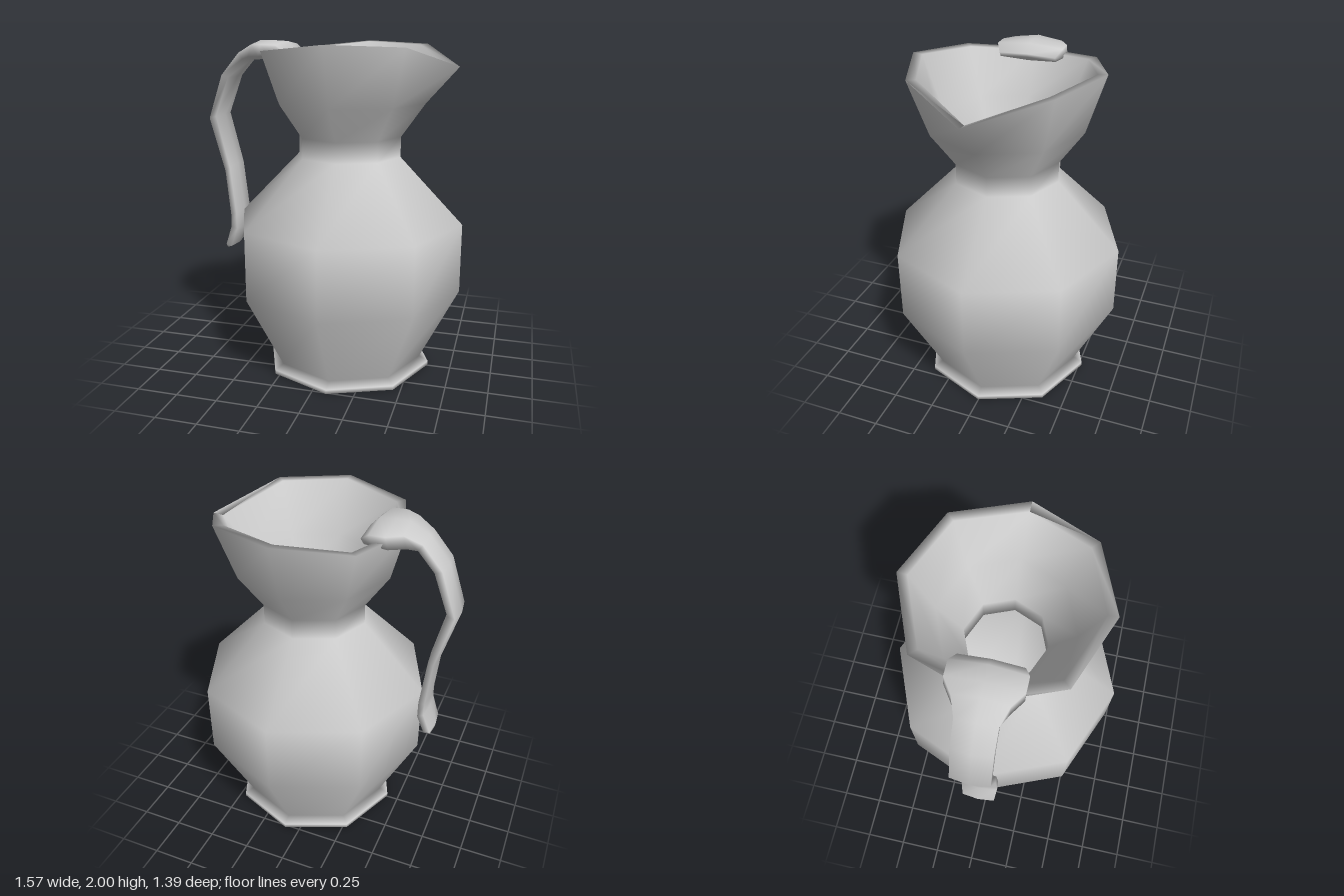
import * as THREE from 'three';

const SIDES = 8;
const CENTRE_X = 0.09; // axis of the jug body

// Skin a list of equal-length rings of Vector3 with smooth normals
function loft(rings) {
  const n = rings[0].length;
  const positions = rings.flat().flatMap((p) => [p.x, p.y, p.z]);
  const index = [];
  for (let i = 0; i < rings.length - 1; i++) {
    for (let j = 0; j < n; j++) {
      const k = (j + 1) % n;
      const a = i * n + j, b = (i + 1) * n + j, c = i * n + k, d = (i + 1) * n + k;
      index.push(a, b, c, c, b, d);
    }
  }
  const geometry = new THREE.BufferGeometry();
  geometry.setAttribute('position', new THREE.Float32BufferAttribute(positions, 3));
  geometry.setIndex(index);
  geometry.computeVertexNormals();
  return geometry;
}

// Regular octagon around the jug axis
function octagon([radius, y]) {
  return Array.from({ length: SIDES }, (_, i) => {
    const a = (i / SIDES) * Math.PI * 2;
    return new THREE.Vector3(CENTRE_X + Math.cos(a) * radius, y, Math.sin(a) * radius);
  });
}

// Rim drawn out to a low pouring spout on +x
function rim(scale, drop) {
  const half = [[0.73, 1.86, 0], [0.49, 1.975, 0.4], [0.09, 1.99, 0.56], [-0.31, 1.95, 0.4], [-0.44, 1.93, 0]];
  const mirrored = half.slice(1, 4).reverse().map(([x, y, z]) => [x, y, -z]);
  return [...half, ...mirrored].map(([x, y, z]) =>
    new THREE.Vector3(CENTRE_X + (x - CENTRE_X) * scale, y - drop, z * scale));
}

function createJug() {
  const outside = [
    [0, 0], [0.5, 0], [0.52, 0.005], [0.52, 0.03], [0.465, 0.06],
    [0.695, 0.52], [0.695, 0.94], [0.315, 1.33], [0.315, 1.45], [0.455, 1.65],
  ];
  const inside = [
    [0.39, 1.67], [0.245, 1.46], [0.245, 1.32], [0.63, 0.92], [0.63, 0.54], [0.4, 0.1], [0, 0.08],
  ];
  return loft([...outside.map(octagon), rim(1, 0), rim(0.9, 0.005), ...inside.map(octagon)]);
}

// Flat strap handle: each station is outer x, y, inner x, y, half width
function createHandle() {
  const stations = [
    [-0.24, 1.945, -0.27, 1.9, 0.17],
    [-0.29, 1.995, -0.33, 1.9, 0.2],
    [-0.38, 2.0, -0.41, 1.89, 0.2],
    [-0.46, 2.0, -0.49, 1.885, 0.145],
    [-0.57, 1.94, -0.53, 1.88, 0.11],
    [-0.69, 1.8, -0.62, 1.78, 0.11],
    [-0.78, 1.53, -0.71, 1.55, 0.11],
    [-0.685, 1.2, -0.635, 1.24, 0.11],
    [-0.66, 0.93, -0.6, 0.94, 0.11],
    [-0.66, 0.86, -0.6, 0.83, 0.11],
    [-0.705, 0.73, -0.645, 0.715, 0.1],
    [-0.7, 0.7, -0.66, 0.71, 0.08],
  ];
  const section = [[1, 0], [0.6, 1], [-0.6, 1], [-1, 0], [-0.6, -1], [0.6, -1]];
  const rings = stations.map(([ox, oy, ix, iy, width]) => section.map(([u, v]) =>
    new THREE.Vector3((ox + ix) / 2 + u * (ox - ix) / 2, (oy + iy) / 2 + u * (oy - iy) / 2, v * width)));
  // Collapse the end rings to close the strap
  const close = (ring) => {
    const mid = ring.reduce((sum, p) => sum.add(p), new THREE.Vector3()).divideScalar(ring.length);
    return ring.map(() => mid.clone());
  };
  return loft([close(rings[0]), ...rings, close(rings[rings.length - 1])]);
}

export function createModel() {
  const group = new THREE.Group();
  group.name = 'pitcher';
  const material = new THREE.MeshStandardMaterial({ color: 0xcccccc });
  const add = (name, geometry) => {
    const mesh = new THREE.Mesh(geometry, material);
    mesh.name = name;
    group.add(mesh);
  };
  add('jugBody', createJug());
  add('handle', createHandle());
  return group;
}
